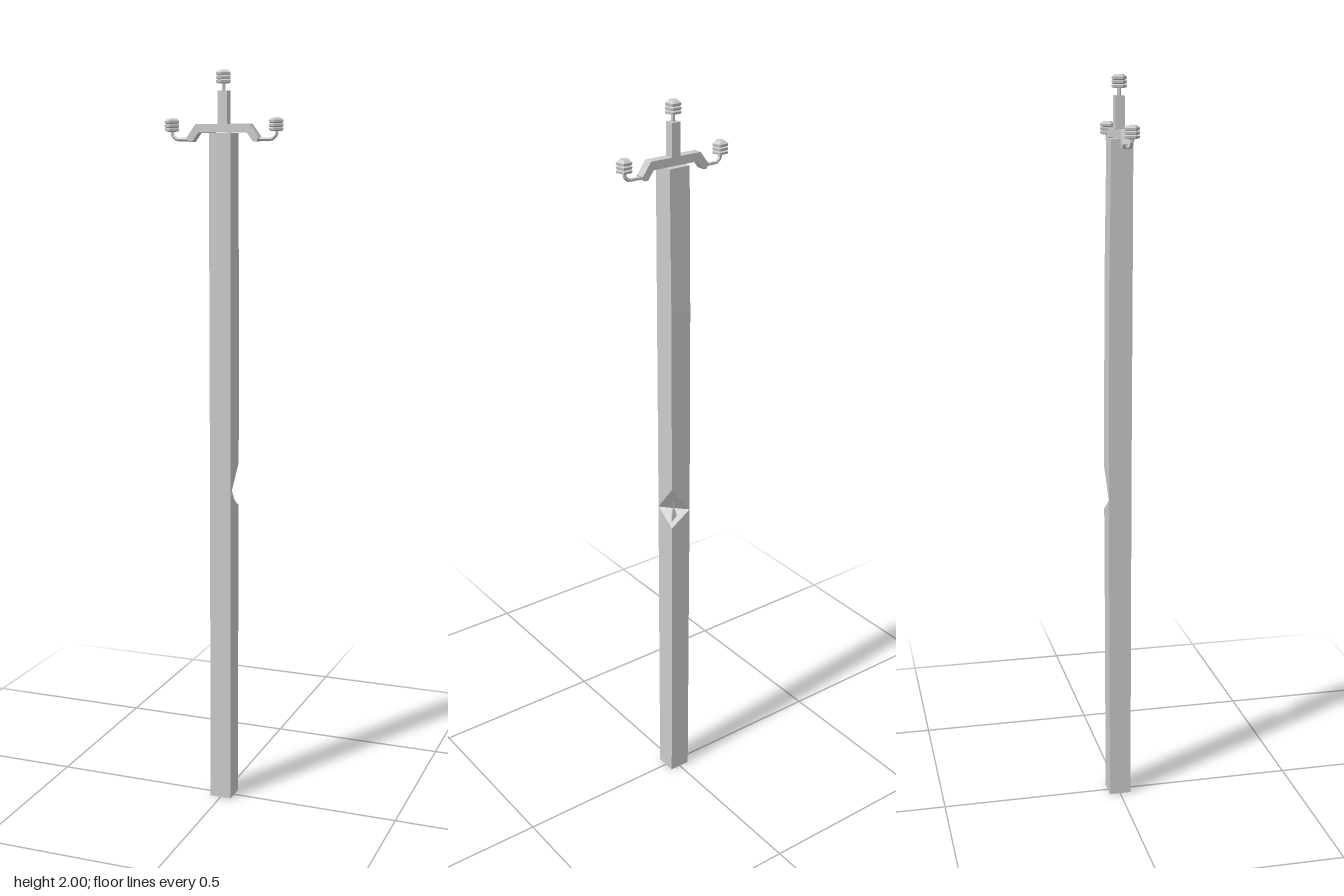
import * as THREE from 'three';

const mat = new THREE.MeshStandardMaterial({ color: 0xcccccc, flatShading: true, side: THREE.DoubleSide });

function add(parent, name, geometry, x = 0, y = 0, z = 0) {
  const mesh = new THREE.Mesh(geometry, mat);
  mesh.name = name;
  mesh.position.set(x, y, z);
  parent.add(mesh);
  return mesh;
}

// Square post lofted from rings, slightly bent, with a wedge cut out of its back corner
function poleGeometry() {
  const w = 0.03;
  // ring corners: back right, back left (cut corner), front left, front right
  const ring = (y, back, front, cutY = y) => [
    [-w, y, back], [w, cutY, back], [w, y, front], [-w, y, front],
  ];
  const rings = [
    ring(0, -0.03, 0.03),
    ring(0.55, -0.031, 0.031),
    ring(0.88, -0.032, 0.031, 0.84),
    ring(0.88, -0.032, 0.031, 0.96),
    ring(1.46, -0.03, 0.033),
    ring(1.84, -0.024, 0.034),
  ];
  const pos = [];
  const tri = (a, b, c) => pos.push(...a, ...b, ...c);
  for (let i = 0; i < rings.length - 1; i++) {
    const lo = rings[i], hi = rings[i + 1];
    if (i === 2) {
      // the two faces of the cut
      tri(lo[0], lo[2], lo[1]);
      tri(hi[0], hi[1], hi[2]);
      continue;
    }
    for (let a = 0; a < 4; a++) {
      const b = (a + 1) % 4;
      tri(lo[a], hi[a], hi[b]);
      tri(lo[a], hi[b], lo[b]);
    }
  }
  const bottom = rings[0], top = rings[rings.length - 1];
  tri(bottom[0], bottom[1], bottom[2]);
  tri(bottom[0], bottom[2], bottom[3]);
  tri(top[0], top[2], top[1]);
  tri(top[0], top[3], top[2]);
  const g = new THREE.BufferGeometry();
  g.setAttribute('position', new THREE.Float32BufferAttribute(pos, 3));
  g.computeVertexNormals();
  return g;
}

// Five-sided ribbed insulator, 0.035 tall, with a low domed top
function insulatorGeometry() {
  const pts = [[0, 0], [0.012, 0]];
  for (let i = 0; i < 3; i++) {
    const y = 0.002 + i * 0.01;
    pts.push([0.02, y], [0.021, y + 0.006], [0.015, y + 0.008]);
  }
  pts.pop();
  pts.push([0.013, 0.034], [0, 0.035]);
  return new THREE.LatheGeometry(pts.map(([x, y]) => new THREE.Vector2(x, y)), 5);
}

export function createModel() {
  const model = new THREE.Group();
  model.name = 'utilityPole';
  const zc = 0.003;

  add(model, 'pole', poleGeometry());

  // Splinters left standing inside the cut
  add(model, 'splinterStump', new THREE.ConeGeometry(0.013, 0.045, 3), 0.012, 0.877, -0.014);
  const sliver = add(model, 'splinterSliver', new THREE.ConeGeometry(0.004, 0.05, 3), 0.009, 0.908, -0.01);
  sliver.rotation.set(Math.PI, 0, 0.1);

  // Crossarm with drooping ends
  const half = [[0.075, 1.863], [0.1, 1.829], [0.094, 1.818], [0.084, 1.818], [0.067, 1.841]];
  const outline = [...half, ...half.map(([x, y]) => [-x, y]).reverse()];
  const arm = new THREE.ExtrudeGeometry(
    new THREE.Shape(outline.map(([x, y]) => new THREE.Vector2(x, y))),
    { depth: 0.025, bevelEnabled: false });
  add(model, 'crossarm', arm, 0, 0, zc - 0.0125);

  // Top post and its pin
  add(model, 'topPost', new THREE.BoxGeometry(0.026, 0.086, 0.025), 0, 1.904, zc);
  add(model, 'topPin', new THREE.CylinderGeometry(0.005, 0.005, 0.03, 5), 0, 1.957, zc);
  add(model, 'topInsulator', insulatorGeometry(), 0, 1.965, zc);

  // Bent side pins carrying the outer insulators
  for (const s of [1, -1]) {
    const path = new THREE.CurvePath();
    const p = [[0.088, 1.824], [0.132, 1.824], [0.145, 1.834], [0.145, 1.85]]
      .map(([x, y]) => new THREE.Vector3(s * x, y, zc));
    for (let i = 0; i < 3; i++) path.add(new THREE.LineCurve3(p[i], p[i + 1]));
    add(model, 'sidePin', new THREE.TubeGeometry(path, 12, 0.005, 5));
    add(model, 'sideInsulator', insulatorGeometry(), s * 0.145, 1.844, zc);
  }
  return model;
}
